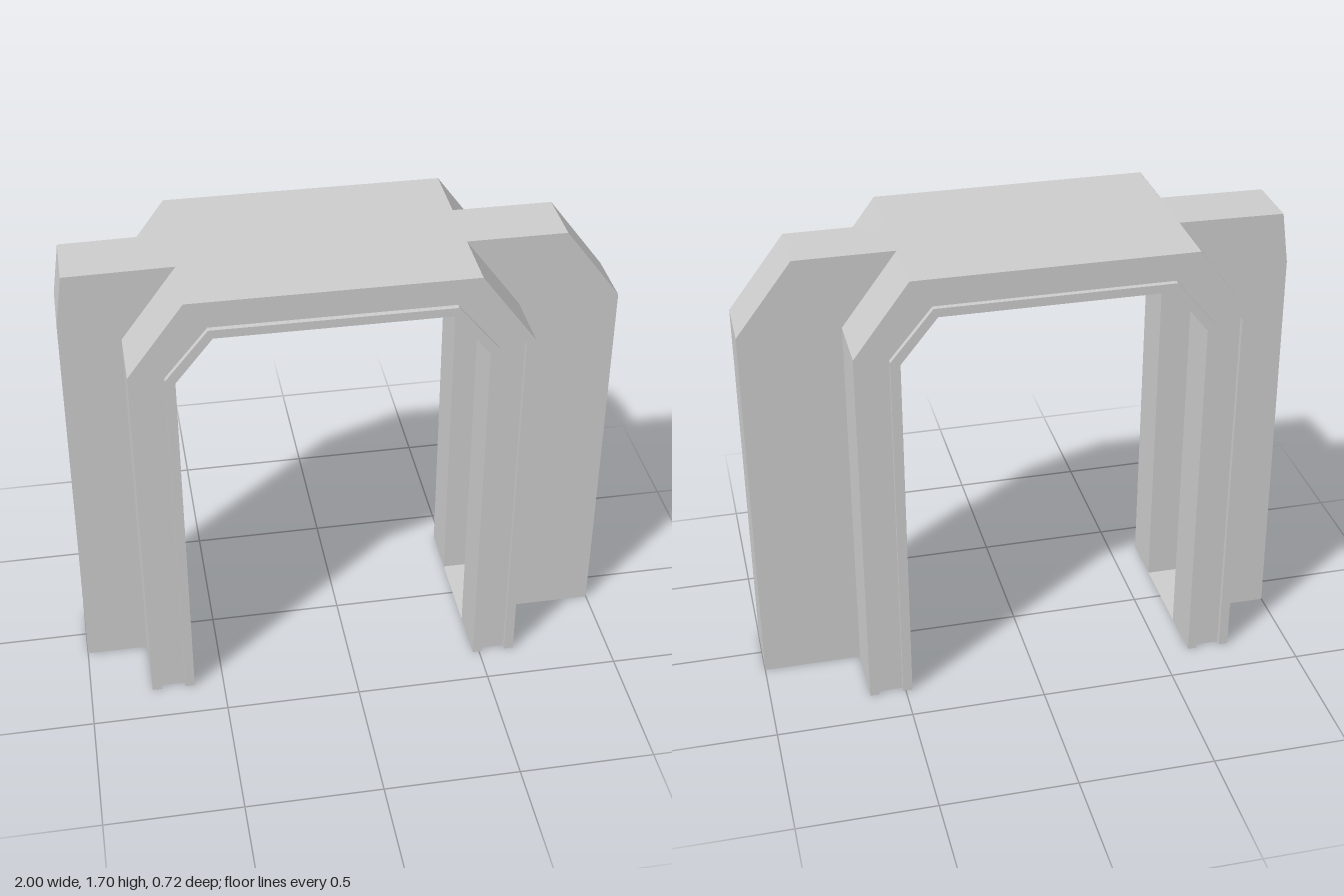
import * as THREE from 'three';

const CENTER = -0.0675; // arch axis in x
const Z_FIN = 0.113, Z_SLOT = 0.165, Z_FACE = 0.358, Z_PANEL = 0.338;

// Chamfered arch line, listed from -x foot to +x foot
function arch(halfWidth, shoulder, halfTop, top) {
  return [
    [-halfWidth, 0], [-halfWidth, shoulder], [-halfTop, top],
    [halfTop, top], [halfWidth, shoulder], [halfWidth, 0],
  ].map(([x, y]) => [x + CENTER, y]);
}

const OUTER = arch(0.7025, 1.425, 0.5025, 1.695);
const RIM = arch(0.668, 1.415, 0.488, 1.66);
const BEAD = arch(0.5775, 1.4, 0.425, 1.585);
const INNER = arch(0.5425, 1.388, 0.41, 1.553);

// Outline of the wall that carries the frame
const WALL = [[-1, 0], [-0.985, 1.5], [-0.957, 1.69], [-0.57, 1.695], [0.795, 1.695], [1, 1.425], [1, 0]];

// Flat-faced strips between successive stations [line, z]
function sweep(stations, flip = false) {
  const pos = [];
  for (let s = 0; s + 1 < stations.length; s++) {
    const [l0, z0] = stations[s], [l1, z1] = stations[s + 1];
    for (let i = 0; i + 1 < l0.length; i++) {
      const a = [...l0[i], z0], b = [...l1[i], z1];
      const c = [...l1[i + 1], z1], d = [...l0[i + 1], z0];
      const tris = flip ? [a, c, b, a, d, c] : [a, b, c, a, c, d];
      pos.push(...tris.flat());
    }
  }
  const geo = new THREE.BufferGeometry();
  geo.setAttribute('position', new THREE.Float32BufferAttribute(pos, 3));
  geo.computeVertexNormals();
  return geo;
}

function polygon(points) {
  return new THREE.ShapeGeometry(new THREE.Shape(points.map(([x, y]) => new THREE.Vector2(x, y))));
}

export function createModel() {
  const group = new THREE.Group();
  const material = new THREE.MeshStandardMaterial({ color: 0xcccccc, side: THREE.DoubleSide });
  const add = (name, geo) => {
    const mesh = new THREE.Mesh(geo, material);
    mesh.name = name;
    group.add(mesh);
    return mesh;
  };

  for (const [label, s] of [['front', 1], ['back', -1]]) {
    // Frame moulding: outer return, sunken face panel, inner return and slot side
    add(label + 'Frame', sweep([
      [OUTER, Z_FIN * s], [OUTER, Z_FACE * s], [RIM, Z_FACE * s], [RIM, Z_PANEL * s],
      [BEAD, Z_PANEL * s], [BEAD, Z_FACE * s], [INNER, Z_FACE * s], [INNER, Z_SLOT * s],
      [RIM, Z_SLOT * s], [RIM, Z_FIN * s],
    ], s < 0));

    // Wall face around the arch opening
    const face = polygon([...WALL, ...[...RIM].reverse()]);
    if (s < 0) face.rotateY(Math.PI).scale(-1, 1, 1);
    face.translate(0, 0, Z_FIN * s);
    add(label + 'Wall', face);
  }

  // Outer edge of the wall, over the top and down both ends
  add('wallEdge', sweep([[WALL, -Z_FIN], [WALL, Z_FIN]]));

  // Floor plates: wall foot plus the wider slot between the mouldings
  for (const [label, side, end] of [['left', 1, 1], ['right', -1, -1]]) {
    const rim = CENTER + 0.668 * side, inner = CENTER + 0.5425 * side;
    const plate = polygon([
      [end, -Z_FIN], [end, Z_FIN], [rim, Z_FIN], [rim, Z_SLOT],
      [inner, Z_SLOT], [inner, -Z_SLOT], [rim, -Z_SLOT], [rim, -Z_FIN],
    ]);
    plate.rotateX(Math.PI / 2);
    add(label + 'FloorPlate', plate);
  }

  return group;
}
